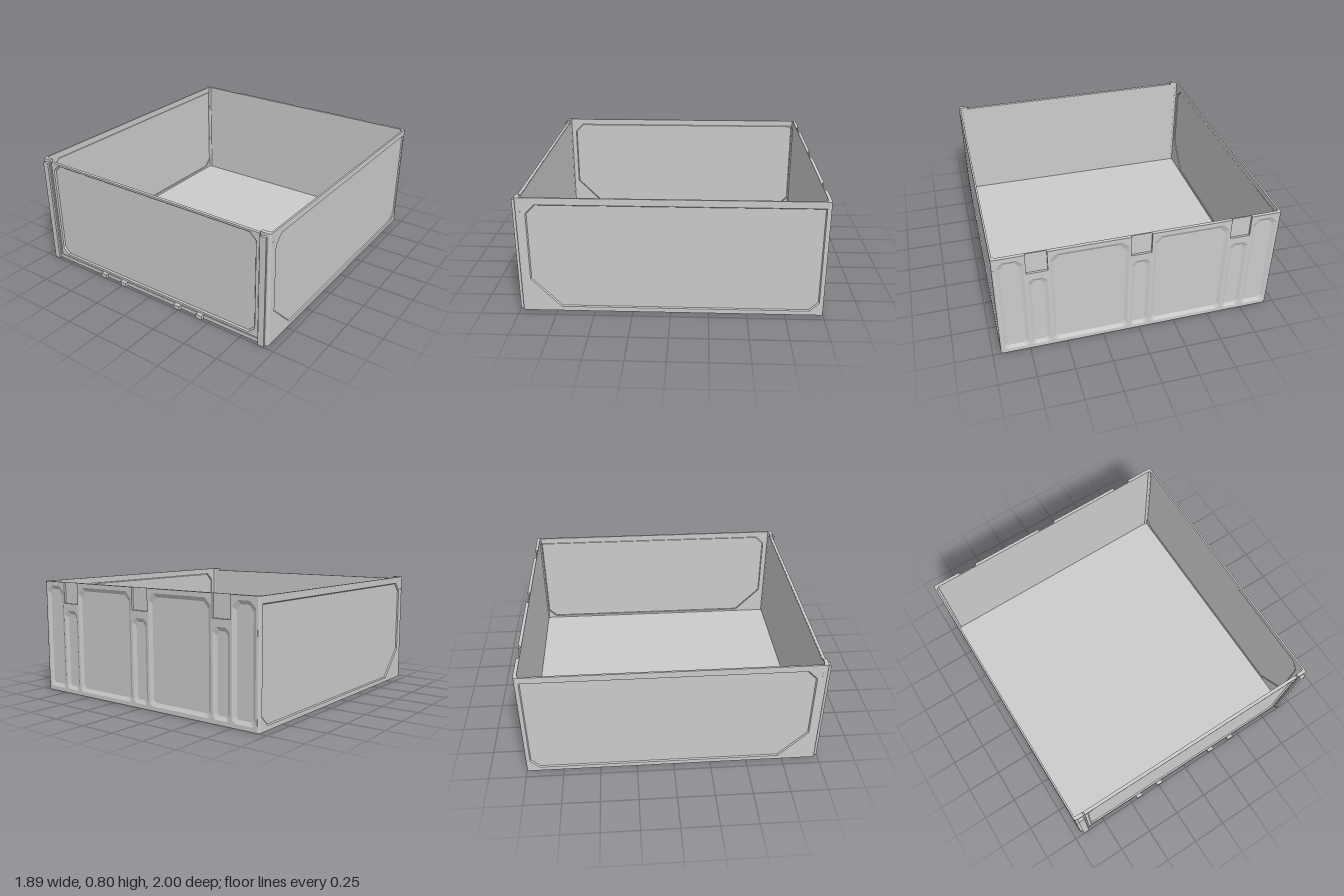
import * as THREE from 'three';

const mat = new THREE.MeshStandardMaterial({ color: 0xcccccc, flatShading: true, side: THREE.DoubleSide });

function add(parent, name, geometry, x = 0, y = 0, z = 0) {
  const mesh = new THREE.Mesh(geometry, mat);
  mesh.name = name;
  mesh.position.set(x, y, z);
  parent.add(mesh);
  return mesh;
}

// Box given by its limits
function block(parent, name, x0, x1, y0, y1, z0, z1) {
  return add(parent, name, new THREE.BoxGeometry(x1 - x0, y1 - y0, z1 - z0),
    (x0 + x1) / 2, (y0 + y1) / 2, (z0 + z1) / 2);
}

const toShape = pts => new THREE.Shape(pts.map(p => new THREE.Vector2(...p)));

// Rectangle with chamfers: bottom left, bottom right, top right, top left
function chamfered(x0, x1, y0, y1, bl, br, tr, tl) {
  const pts = [[x0 + bl, y0], [x1 - br, y0], [x1, y0 + br], [x1, y1 - tr],
    [x1 - tr, y1], [x0 + tl, y1], [x0, y1 - tl], [x0, y0 + bl]];
  return pts.filter((p, i) => {
    const q = pts[(i + 1) % pts.length];
    return Math.hypot(p[0] - q[0], p[1] - q[1]) > 1e-6;
  });
}

// Sloped rim and sunken floor of a pressed panel
function recess(parent, name, pts, inset, depth) {
  const xs = pts.map(p => p[0]), ys = pts.map(p => p[1]);
  const x0 = Math.min(...xs), x1 = Math.max(...xs), y0 = Math.min(...ys), y1 = Math.max(...ys);
  const cx = (x0 + x1) / 2, cy = (y0 + y1) / 2;
  const kx = 1 - 2 * inset / (x1 - x0), ky = 1 - 2 * inset / (y1 - y0);
  const inner = pts.map(([x, y]) => [cx + (x - cx) * kx, cy + (y - cy) * ky]);
  const v = [];
  pts.forEach((a, i) => {
    const j = (i + 1) % pts.length, b = pts[j], c = inner[j], d = inner[i];
    v.push(...a, 0, ...b, 0, ...c, -depth, ...a, 0, ...c, -depth, ...d, -depth);
  });
  const rim = new THREE.BufferGeometry();
  rim.setAttribute('position', new THREE.Float32BufferAttribute(v, 3));
  rim.computeVertexNormals();
  add(parent, name + 'Rim', rim);
  add(parent, name, new THREE.ShapeGeometry(toShape(inner)), 0, 0, -depth);
}

// Sheet wall with its outer face on local z = 0 and pressed panels
function wall(name, contour, panels, thickness, inset, depth) {
  const group = new THREE.Group();
  group.name = name;
  const shape = toShape(contour);
  panels.forEach(p => shape.holes.push(new THREE.Path(p.map(q => new THREE.Vector2(...q)))));
  add(group, name + 'Frame', new THREE.ExtrudeGeometry(shape, { depth: thickness, bevelEnabled: false }), 0, 0, -thickness);
  panels.forEach(p => recess(group, name + 'Panel', p, inset, depth));
  return group;
}

export function createModel() {
  const model = new THREE.Group();
  model.name = 'openCargoBed';
  const W = 0.945, H = 0.8;

  block(model, 'floor', -W + 0.006, W - 0.006, 0, 0.014, -0.99, 0.97);

  for (const s of [1, -1]) {
    // Side wall with a large pressed panel
    const outline = [[-0.915, 0.23], [-0.72, 0.03], [0.91, 0.03], [0.97, 0.09],
      [0.97, 0.755], [-0.855, 0.755], [-0.915, 0.695]].map(([x, y]) => [x * s, y]);
    const side = wall('sideWall', [[-0.965 * s, 0], [0.985 * s, 0], [0.985 * s, H], [-0.965 * s, H]],
      [outline], 0.012, 0.006, 0.008);
    side.rotation.y = s * Math.PI / 2;
    side.position.x = s * W;
    model.add(side);

    // Rounded corners
    for (const z of [-0.985, 0.965]) {
      add(model, 'roundedCorner', new THREE.CylinderGeometry(0.015, 0.015, H, 16), s * (W - 0.015), H / 2, z);
    }

    // Front post with a tapered guide rail
    const a = s * 0.876, b = s * 0.93;
    block(model, 'frontPost', Math.min(a, b), Math.max(a, b), 0, H, 0.955, 0.98);
    const rail = toShape([[-0.016, 0], [0.016, 0], [0.022, 0.02], [-0.022, 0.02]]);
    const railGeo = new THREE.ExtrudeGeometry(rail, { depth: 0.78, bevelEnabled: false });
    railGeo.rotateX(-Math.PI / 2).scale(1, 1, -1);
    const index = railGeo.attributes.position;
    // Restore outward winding after the mirror
    for (let i = 0; i < index.count; i += 3) {
      const p = [0, 1, 2].map(k => new THREE.Vector3().fromBufferAttribute(index, i + k));
      index.setXYZ(i + 1, p[2].x, p[2].y, p[2].z);
      index.setXYZ(i + 2, p[1].x, p[1].y, p[1].z);
    }
    railGeo.computeVertexNormals();
    add(model, 'guideRail', railGeo, s * 0.905, 0, 0.979);

    // Small side catch
    block(model, 'sideCatch', s * W - 0.002, s * W + 0.002, 0.70, 0.74, 0.945, 0.96);

    // Hinge feet below the tailgate
    for (const x of [0.24, 0.425]) {
      block(model, 'hingeFoot', s * x - 0.023, s * x + 0.023, 0, 0.03, 0.97, 1);
    }
  }

  // Tailgate, sill and a thin backing that closes the seams
  const gate = wall('tailgate', chamfered(-0.868, 0.868, 0.034, 0.785, 0, 0, 0, 0),
    [chamfered(-0.847, 0.847, 0.05, 0.772, 0.045, 0.045, 0.045, 0.045)], 0.02, 0.008, 0.01);
  gate.position.z = 0.978;
  model.add(gate);
  block(model, 'tailgateBacking', -0.88, 0.88, 0.01, 0.783, 0.955, 0.962);
  block(model, 'frontSill', -0.88, 0.88, 0, 0.028, 0.955, 0.978);

  // Back wall: hinge notches in the top edge and bevelled pockets
  const contour = [[-0.932, 0], [0.932, 0], [0.932, H]];
  for (const x of [0.67, 0, -0.67]) {
    contour.push([x + 0.068, H], [x + 0.068, 0.65], [x - 0.068, 0.65], [x - 0.068, H]);
  }
  contour.push([-0.932, H]);
  const pockets = [];
  for (const x of [-0.67, 0, 0.67]) {
    pockets.push(chamfered(x - 0.065, x + 0.065, 0.03, 0.6, 0.02, 0.02, 0.03, 0.03));
  }
  for (const s of [1, -1]) {
    const flip = p => p.map(([x, y]) => [x * s, y]);
    pockets.push(flip(chamfered(0.08, 0.59, 0.03, 0.77, 0.02, 0.02, 0.045, 0.045)));
    pockets.push(flip(chamfered(0.75, 0.92, 0.03, 0.77, 0.02, 0.02, 0.04, 0.04)));
  }
  const back = wall('backWall', contour, pockets, 0.014, 0.025, 0.013);
  back.rotation.y = Math.PI;
  back.position.z = -1;
  model.add(back);
  block(model, 'backInnerSheet', -0.932, 0.932, 0, H, -0.986, -0.978);

  return model;
}
